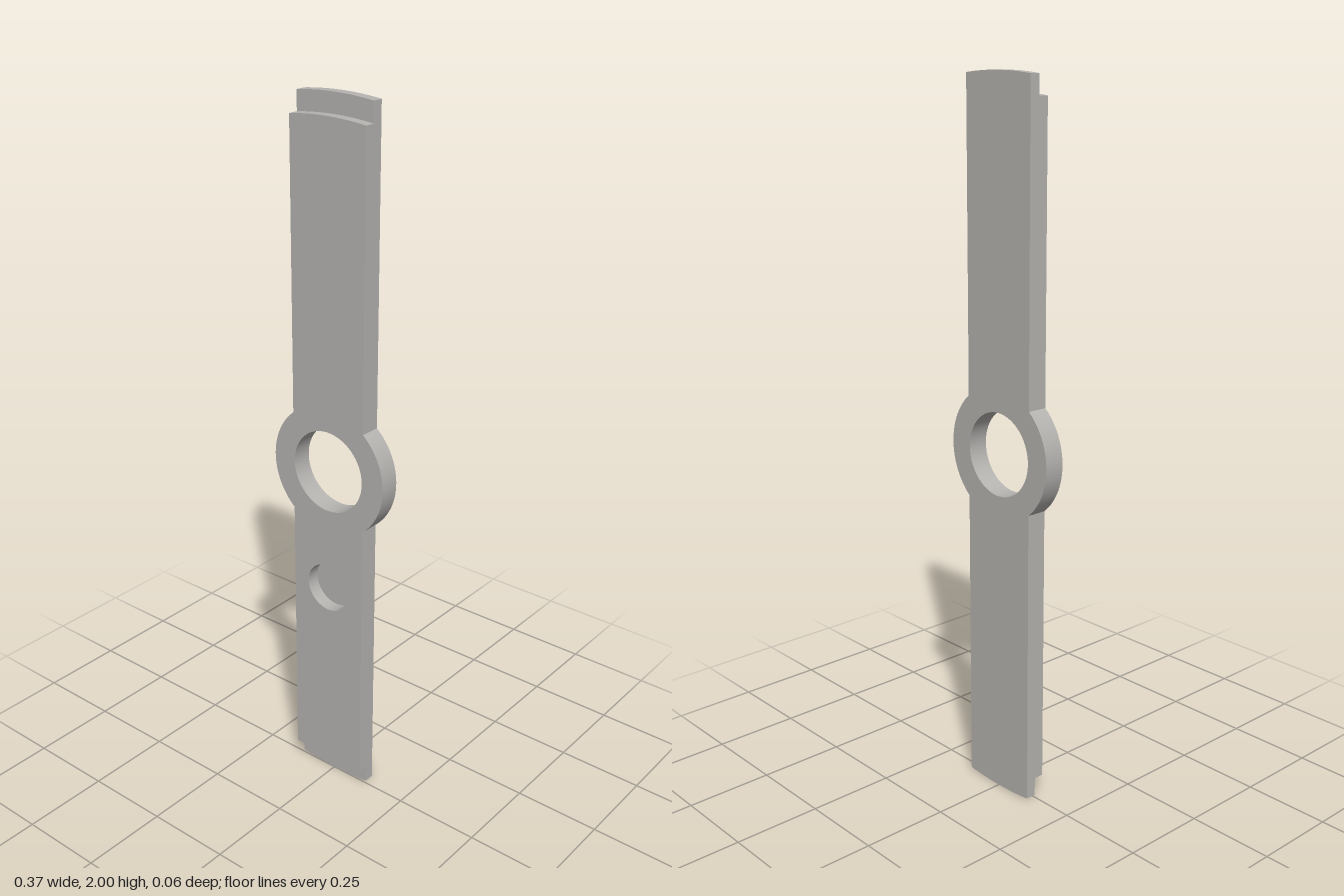
import * as THREE from 'three';

const HALF_WIDTH = 0.12, RING = 0.187, HOLE = 0.117, POCKET = 0.071, POCKET_Y = -0.36;

// Bar outline with rounded ends of radius endR and a ring bulge at the middle
function outline(endR, pocket) {
  const a = Math.asin(HALF_WIDTH / endR);
  const b = Math.acos(HALF_WIDTH / RING);
  const s = new THREE.Shape();
  s.absarc(0, 0, RING, -b, b, false);
  s.absarc(0, 0, endR, Math.PI / 2 - a, Math.PI / 2 + a, false);
  s.absarc(0, 0, RING, Math.PI - b, Math.PI + b, false);
  s.absarc(0, 0, endR, Math.PI * 1.5 - a, Math.PI * 1.5 + a, false);
  s.closePath();
  const holes = [[0, HOLE]];
  if (pocket) holes.push([POCKET_Y, POCKET]);
  for (const [y, r] of holes) {
    s.holes.push(new THREE.Path().absarc(0, y, r, 0, Math.PI * 2, true));
  }
  return s;
}

export function createModel() {
  const group = new THREE.Group();
  group.name = 'ringedBar';
  const grey = new THREE.MeshStandardMaterial({ color: 0xb5b3b0 });
  grey.name = 'grey';

  // One flat slice of the bar between two depths
  function layer(name, endR, z0, z1, pocket) {
    const geo = new THREE.ExtrudeGeometry(outline(endR, pocket), {
      depth: z1 - z0, bevelEnabled: false, curveSegments: 64,
    });
    geo.translate(0, 1, z0);
    const mesh = new THREE.Mesh(geo, grey);
    mesh.name = name;
    group.add(mesh);
  }

  layer('backPlate', 1, -0.03, -0.01, false);     // closes the pocket
  layer('middlePlate', 1, -0.01, 0, true);        // full length
  layer('frontPlate', 0.947, 0, 0.029, true);     // shorter, leaves end steps
  return group;
}
